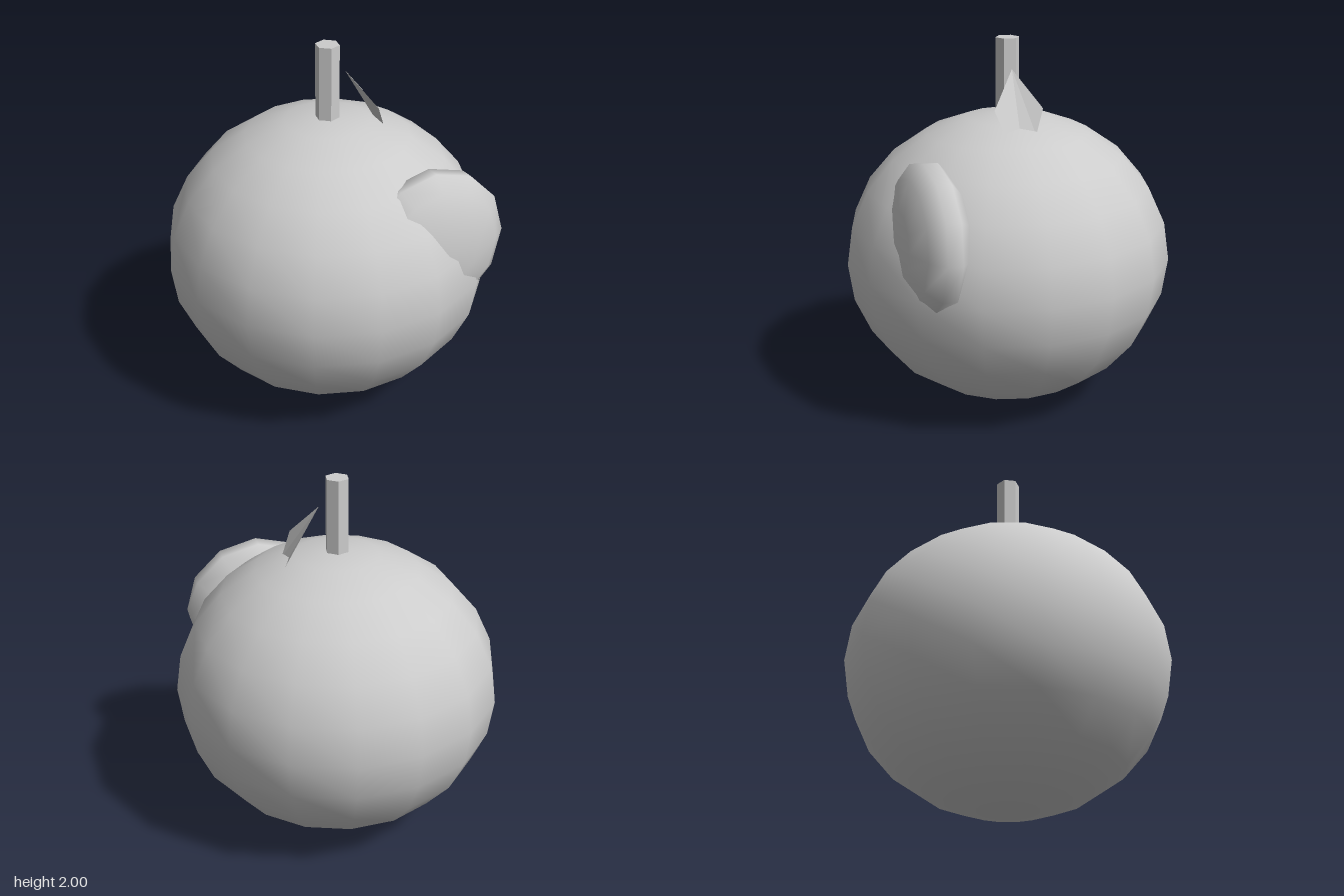
import * as THREE from 'three';

export function createModel() {
  const model = new THREE.Group();
  const grey = new THREE.MeshStandardMaterial({ color: 0xcccccc });
  grey.name = 'light grey';
  const flatGrey = new THREE.MeshStandardMaterial({ color: 0xcccccc, flatShading: true, side: THREE.DoubleSide });
  flatGrey.name = 'light grey flat';

  const add = (name, geometry, material) => {
    const mesh = new THREE.Mesh(geometry, material);
    mesh.name = name;
    model.add(mesh);
    return mesh;
  };

  // Round fruit body, slightly squashed
  const body = add('body', new THREE.SphereGeometry(1, 16, 12), grey);
  body.scale.set(0.89, 0.8, 0.89);
  body.position.y = 0.8;

  // Six-sided stem
  const stem = add('stem', new THREE.CylinderGeometry(0.065, 0.065, 0.42, 6), flatGrey);
  stem.position.y = 1.79;

  // Flattened lump half sunk into the front left cheek
  const lump = add('cheekLump', new THREE.SphereGeometry(1, 12, 7).rotateX(Math.PI / 2), grey);
  lump.scale.set(0.425, 0.42, 0.18);
  lump.position.set(0.4, 1.04, 0.525);
  lump.rotation.set(-0.06, 0.15, 0);

  // Thin folded leaf leaning toward the stem, its base sunk into the body
  const leaf = new THREE.BufferGeometry();
  leaf.setAttribute('position', new THREE.Float32BufferAttribute([
    0.095, 1.845, 0, // tip
    0.24, 1.66, 0.13, 0.29, 1.53, 0.08, // front edge
    0.275, 1.53, 0, // base
    0.29, 1.53, -0.08, 0.24, 1.66, -0.13, // back edge
  ], 3));
  leaf.setIndex([0, 1, 2, 0, 2, 3, 0, 3, 4, 0, 4, 5]);
  leaf.computeVertexNormals();
  add('leaf', leaf, flatGrey);

  return model;
}
